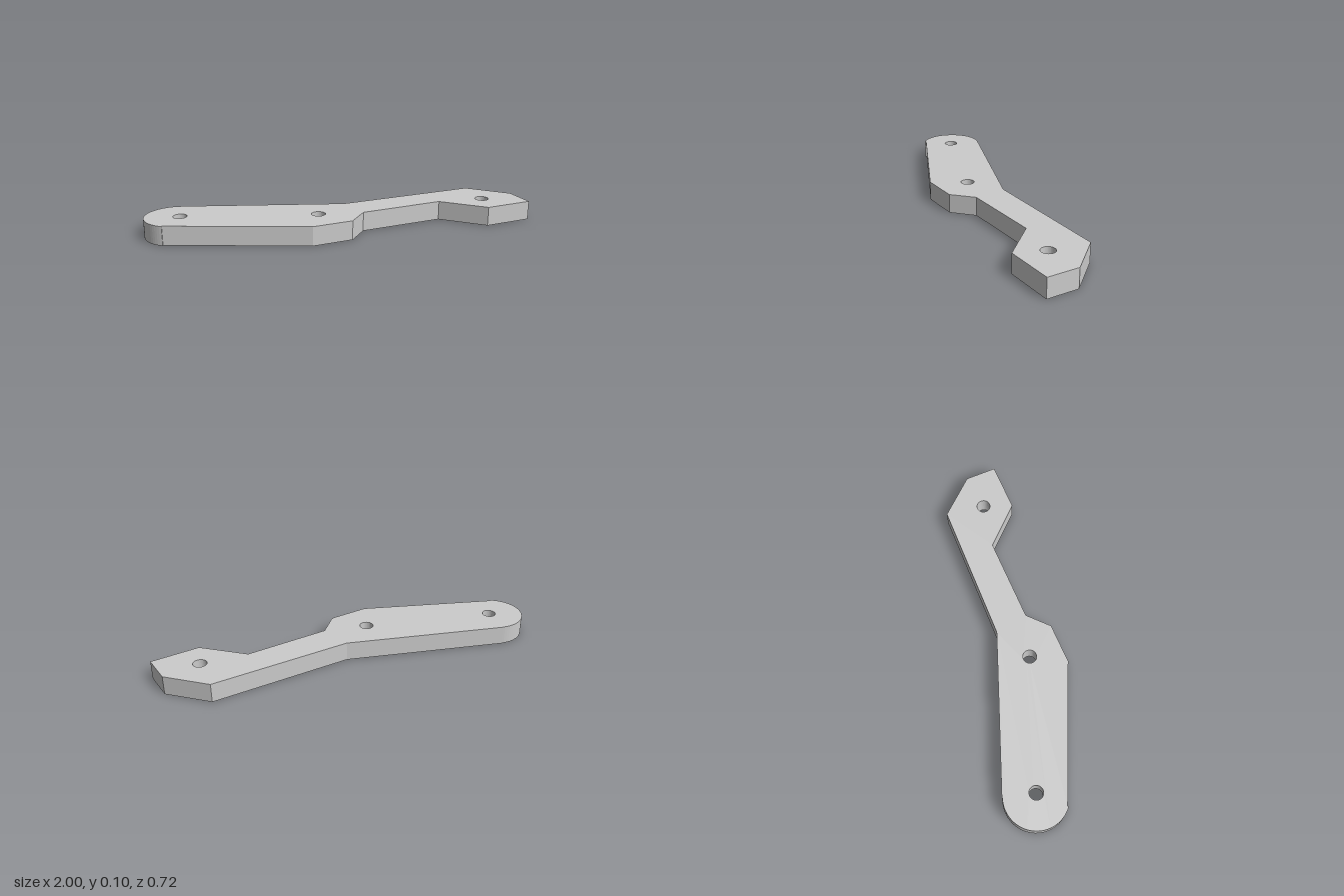
import * as THREE from 'three';

export function createModel() {
  const group = new THREE.Group();
  group.name = 'leverPlate';
  const thickness = 0.103;

  // Outline in plan; shape y becomes -z once laid flat
  const outline = new THREE.Shape();
  outline.moveTo(-0.935, 0.065);
  for (const [x, z] of [
    [-0.25, 0.256], [-0.03, 0.256], [0.08, 0.155], [0.545, 0.155],
    [0.733, 0.358], [1, 0.358], [1, 0.187], [0.828, -0.008],
    [0.053, -0.028], [-0.77, -0.35],
  ]) outline.lineTo(x, -z);

  // Rounded end
  outline.absarc(-0.831, 0.19, 0.169, 1.21, 4.03, false);
  outline.closePath();

  // Pivot holes
  for (const [x, z] of [[-0.815, -0.182], [-0.145, 0.079], [0.793, 0.204]]) {
    const hole = new THREE.Path();
    hole.absarc(x, -z, 0.037, 0, Math.PI * 2, true);
    outline.holes.push(hole);
  }

  const geometry = new THREE.ExtrudeGeometry(outline, {
    depth: thickness, bevelEnabled: false, curveSegments: 16,
  });
  geometry.rotateX(-Math.PI / 2);

  const plate = new THREE.Mesh(
    geometry,
    new THREE.MeshStandardMaterial({ color: 0xcccccc, flatShading: true }),
  );
  plate.name = 'plate';
  group.add(plate);
  return group;
}
